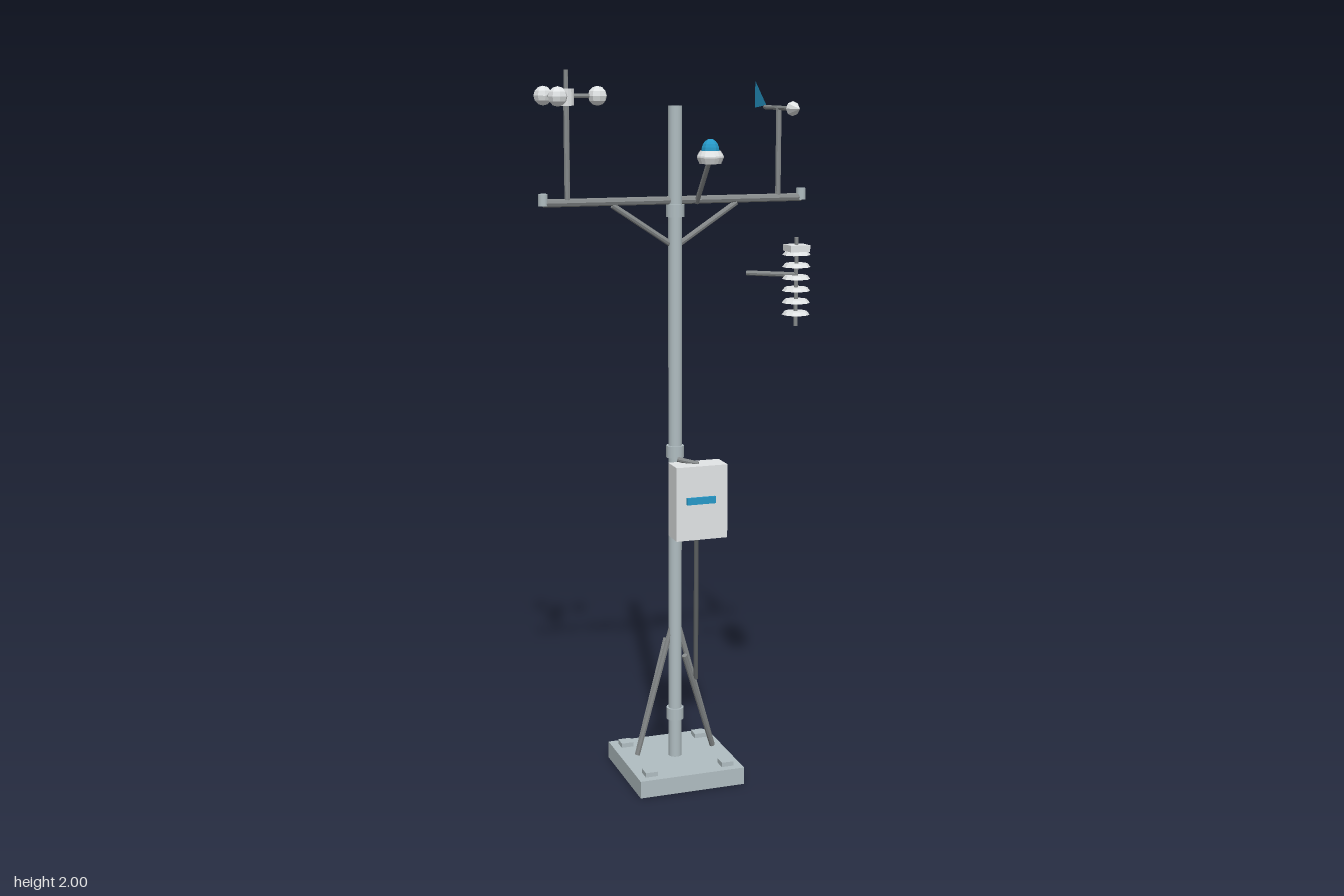
import * as THREE from 'three';

const mat = (name, color, extra = {}) => {
  const m = new THREE.MeshStandardMaterial({ color, ...extra });
  m.name = name;
  return m;
};

export function createModel() {
  const galvanised = mat('galvanised steel', 0xb0bdc1);
  const dark = mat('dark steel', 0x85898a, { flatShading: true });
  const cable = mat('cable grey', 0x5a5e5f);
  const shell = mat('pale shell', 0xe2e5e6, { flatShading: true });
  const blue = mat('blue', 0x2699c9, { flatShading: true, side: THREE.DoubleSide });

  const model = new THREE.Group();
  model.name = 'weatherStation';
  const PZ = 0.01; // depth of the mast axis

  const add = (name, geo, material, x = 0, y = 0, z = 0, parent = model) => {
    const mesh = new THREE.Mesh(geo, material);
    mesh.name = name;
    mesh.position.set(x, y, z);
    parent.add(mesh);
    return mesh;
  };
  const group = (name) => {
    const g = new THREE.Group();
    g.name = name;
    model.add(g);
    return g;
  };
  // Round bar between two points
  const bar = (name, a, b, r, material = dark, parent = model, sides = 8) => {
    const p = new THREE.Vector3(...a), q = new THREE.Vector3(...b);
    const dir = q.clone().sub(p);
    const mesh = add(name, new THREE.CylinderGeometry(r, r, dir.length(), sides), material, 0, 0, 0, parent);
    mesh.position.copy(p).add(q).multiplyScalar(0.5);
    mesh.quaternion.setFromUnitVectors(new THREE.Vector3(0, 1, 0), dir.normalize());
    return mesh;
  };

  // Base slab with four anchor pads
  add('baseSlab', new THREE.BoxGeometry(0.31, 0.05, 0.31), galvanised, 0, 0.025, PZ);
  for (const sx of [-1, 1]) for (const sz of [-1, 1])
    add('anchorPad', new THREE.BoxGeometry(0.036, 0.014, 0.036), galvanised, sx * 0.114, 0.056, PZ + sz * 0.114);

  // Mast and collars
  bar('mast', [0, 0.05, PZ], [0, 1.905, PZ], 0.019, galvanised, model, 16);
  for (const y of [0.18, 0.955, 1.625])
    add('collar', new THREE.CylinderGeometry(0.025, 0.025, 0.034, 16), galvanised, 0, y, PZ);

  // Leg braces: on each side one meets the mast and one splays to front or back
  for (const s of [-1, 1]) {
    bar('legBrace', [s * 0.115, 0.065, PZ], [0, 0.48, PZ], 0.008);
    bar('splayedBrace', [s * 0.115, 0.065, PZ], [0, 0.38, PZ + s * 0.081], 0.008);
  }

  // Crossarm with end caps and struts
  bar('crossarm', [-0.37, 1.653, PZ], [0.37, 1.653, PZ], 0.011);
  for (const s of [-1, 1]) {
    add('crossarmCap', new THREE.CylinderGeometry(0.013, 0.013, 0.032, 12), galvanised, s * 0.37, 1.662, PZ);
    bar('crossarmStrut', [s * 0.178, 1.643, PZ], [0, 1.526, PZ], 0.008);
  }

  // Control box, label stripe, bracket and conduit
  add('controlBox', new THREE.BoxGeometry(0.15, 0.21, 0.072), shell, 0.049, 0.822, 0.063);
  add('boxStripe', new THREE.BoxGeometry(0.084, 0.02, 0.008), blue, 0.045, 0.83, 0.101);
  bar('boxBracket', [0, 0.936, 0.033], [0.05, 0.926, 0.065], 0.007);
  bar('conduit', [0.05, 0.29, 0.048], [0.05, 0.72, 0.048], 0.007, cable);

  // Cup anemometer
  const anemometer = group('anemometer');
  const ax = -0.303, ay = 1.932;
  bar('anemometerStem', [ax, 1.66, PZ], [ax, 1.92, PZ], 0.008, dark, anemometer);
  bar('anemometerSpindle', [ax, 1.92, PZ], [ax, 2, PZ], 0.006, dark, anemometer);
  add('anemometerHub', new THREE.CylinderGeometry(0.021, 0.021, 0.044, 14), shell, ax, ay - 0.003, PZ, anemometer);
  for (let i = 0; i < 3; i++) {
    const a = (i * Math.PI * 2) / 3;
    const cx = ax + Math.cos(a) * 0.086, cz = PZ + Math.sin(a) * 0.086;
    bar('cupArm', [ax, ay, PZ], [cx, ay, cz], 0.006, dark, anemometer);
    add('cup', new THREE.SphereGeometry(0.026, 8, 6), shell, cx, ay, cz, anemometer);
  }

  // Wind vane: stem, boom, pointer and flat tail fin
  const vane = group('windVane');
  const vx = 0.301, vy = 1.897;
  bar('vaneStem', [vx, 1.66, PZ], [vx, vy, PZ], 0.008, dark, vane);
  bar('vaneBoom', [vx, vy, -0.092], [vx, vy, 0.112], 0.006, dark, vane);
  const tip = add('vanePointer', new THREE.ConeGeometry(0.02, 0.049, 8), shell, vx, vy, 0.132, vane);
  tip.rotation.x = Math.PI / 2;
  const finShape = new THREE.Shape([[0.082, 0.006], [0.167, -0.003], [0.167, 0.072]].map((p) => new THREE.Vector2(...p)));
  const fin = add('vaneFin', new THREE.ShapeGeometry(finShape), blue, vx, vy, 0, vane);
  fin.rotation.y = Math.PI / 2;

  // Light sensor on a slanted bracket: flared body under a tall dome
  const sensor = group('lightSensor');
  const sx = 0.062, sz = 0.117;
  bar('sensorBracket', [sx, 1.645, PZ], [sx, 1.765, sz - 0.005], 0.007, dark, sensor);
  const bodyProfile = [[0, 0], [0.029, 0], [0.036, 0.016], [0.036, 0.02], [0.028, 0.034], [0, 0.034]];
  add('sensorBody', new THREE.LatheGeometry(bodyProfile.map((p) => new THREE.Vector2(...p)), 16), shell, sx, 1.755, sz, sensor);
  const dome = add('sensorDome', new THREE.SphereGeometry(0.025, 10, 5, 0, Math.PI * 2, 0, Math.PI / 2), blue, sx, 1.788, sz, sensor);
  dome.scale.y = 1.3;

  // Louvred thermometer shield on a side arm
  const shield = group('thermometerShield');
  const hx = 0.323, hz = 0.096;
  bar('shieldArm', [0.21, 1.447, PZ], [hx, 1.447, hz], 0.007, dark, shield);
  bar('shieldRod', [hx, 1.305, hz], [hx, 1.55, hz], 0.006, dark, shield);
  for (let i = 0; i < 6; i++)
    add('shieldPlate', new THREE.CylinderGeometry(0.031, 0.039, 0.01, 10), shell, hx, 1.342 + i * 0.033, hz, shield);
  add('shieldHood', new THREE.BoxGeometry(0.057, 0.018, 0.057), shell, hx, 1.521, hz, shield);

  return model;
}
